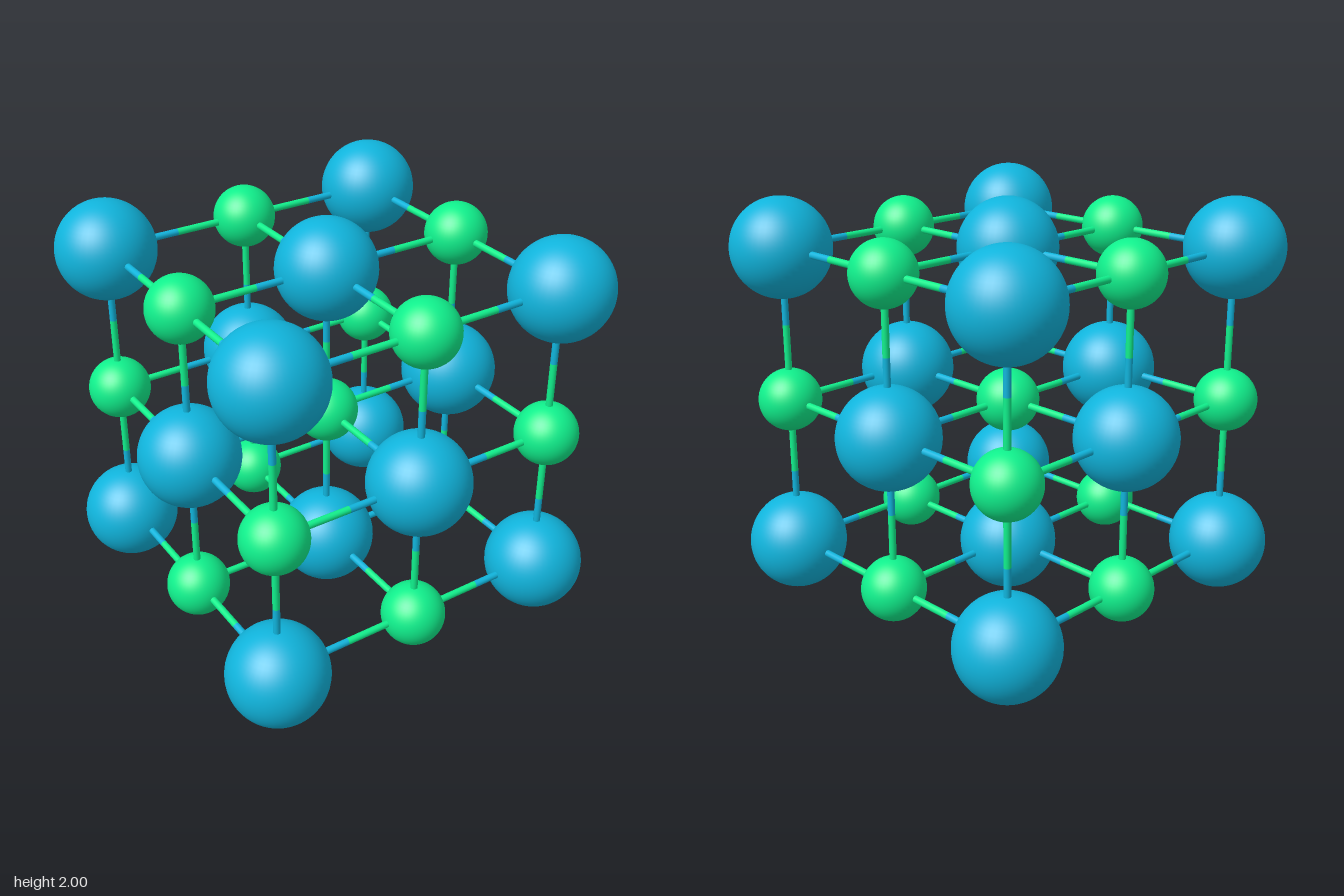
import * as THREE from 'three';

const SPACING = 0.757;
const BOND_RADIUS = 0.017;

// Two kinds of atom alternate through a 3 x 3 x 3 cubic lattice
const KINDS = {
  large: { radius: 0.243, color: 0x10b4dc },
  small: { radius: 0.155, color: 0x10f08c },
};
const AXES = [
  new THREE.Vector3(1, 0, 0),
  new THREE.Vector3(0, 1, 0),
  new THREE.Vector3(0, 0, 1),
];
const UP = new THREE.Vector3(0, 1, 0);

export function createModel() {
  const model = new THREE.Group();
  model.name = 'crystalLattice';
  const atoms = new THREE.Group();
  atoms.name = 'atoms';
  const bonds = new THREE.Group();
  bonds.name = 'bonds';
  model.add(atoms, bonds);
  model.position.y = 1;

  for (const kind of Object.values(KINDS)) {
    kind.material = new THREE.MeshStandardMaterial({ color: kind.color });
    kind.geometry = new THREE.SphereGeometry(kind.radius, 48, 32);
  }
  const halfBond = new THREE.CylinderGeometry(BOND_RADIUS, BOND_RADIUS, SPACING / 2, 16, 1, true);

  const kindAt = (cell) => ((cell.x + cell.y + cell.z) % 2 !== 0 ? 'large' : 'small');

  // Half of a bond, in the colour of the atom it starts from
  function addHalfBond(cell, direction) {
    const kind = kindAt(cell);
    const mesh = new THREE.Mesh(halfBond, KINDS[kind].material);
    mesh.name = kind + 'AtomHalfBond';
    mesh.position.copy(cell).multiplyScalar(SPACING).addScaledVector(direction, SPACING / 4);
    mesh.quaternion.setFromUnitVectors(UP, direction);
    bonds.add(mesh);
  }

  for (let x = -1; x <= 1; x++) {
    for (let y = -1; y <= 1; y++) {
      for (let z = -1; z <= 1; z++) {
        const cell = new THREE.Vector3(x, y, z);
        const kind = kindAt(cell);

        // Atom
        const atom = new THREE.Mesh(KINDS[kind].geometry, KINDS[kind].material);
        atom.name = kind + 'Atom';
        atom.position.copy(cell).multiplyScalar(SPACING);
        atoms.add(atom);

        // Bonds to every neighbour inside the lattice
        for (const axis of AXES) {
          for (const sign of [-1, 1]) {
            const direction = axis.clone().multiplyScalar(sign);
            if (Math.abs(cell.dot(axis) + sign) <= 1) addHalfBond(cell, direction);
          }
        }
      }
    }
  }
  return model;
}
